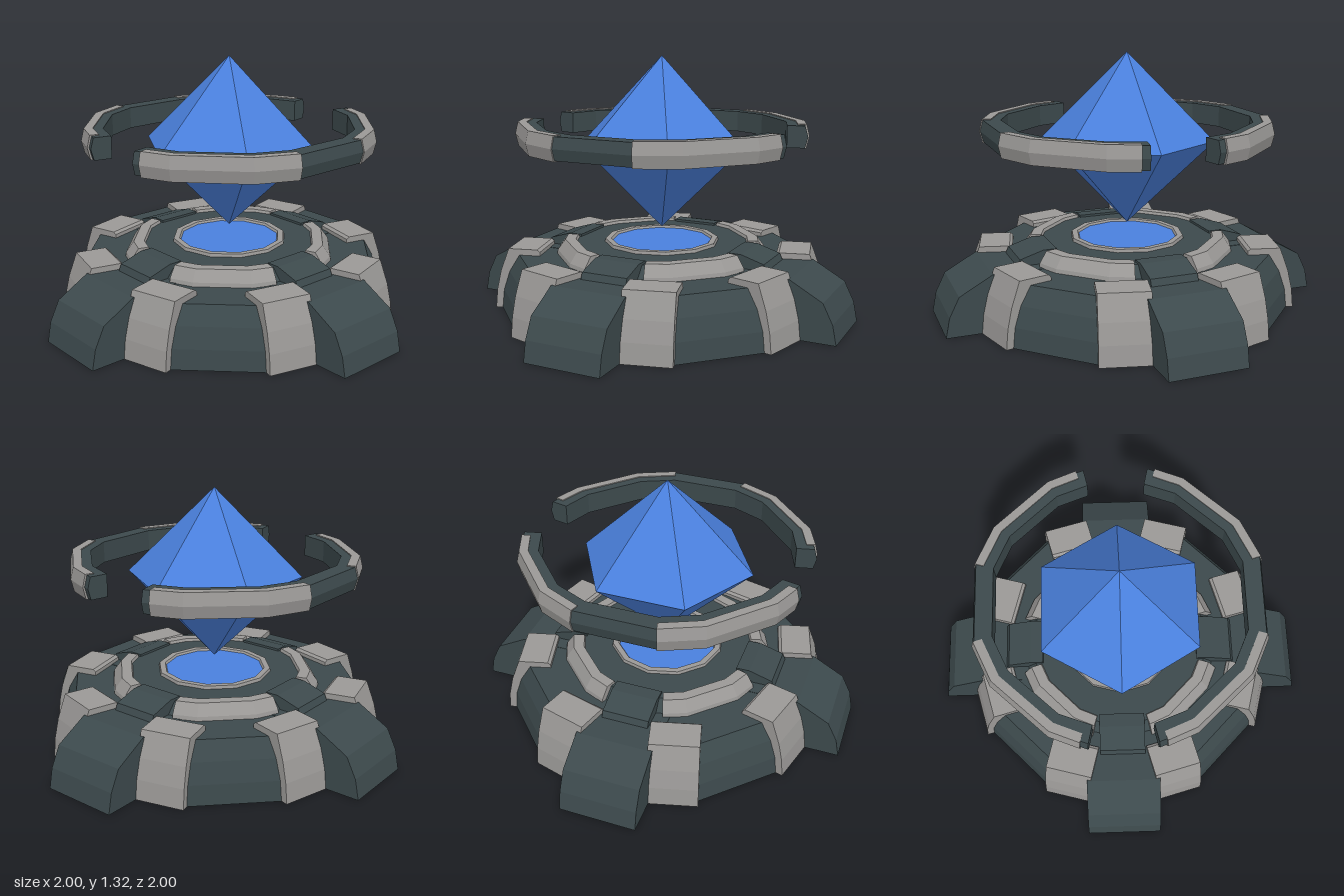
import * as THREE from 'three';

const mat = (name, color) => {
  const m = new THREE.MeshStandardMaterial({ color });
  m.name = name;
  return m;
};
const rad = THREE.MathUtils.degToRad;

// Flat facets: every triangle gets its own normal
function faceted(geo) {
  const g = geo.index ? geo.toNonIndexed() : geo;
  g.computeVertexNormals();
  return g;
}

const lathe = (profile, sides) =>
  faceted(new THREE.LatheGeometry(profile.map(p => new THREE.Vector2(...p)), sides));

// Extrude a (radius, height) profile sideways from t0 to t1
function slab(profile, t0, t1) {
  const shape = new THREE.Shape(profile.map(p => new THREE.Vector2(...p)));
  const g = new THREE.ExtrudeGeometry(shape, { depth: t1 - t0, bevelEnabled: false });
  return faceted(g.translate(0, 0, t0));
}

// Sweep a counter-clockwise (radius, height) section through a list of angles, with end caps
function arc(section, degrees) {
  const pos = [], idx = [], n = section.length;
  for (const d of degrees)
    for (const [r, y] of section) pos.push(r * Math.cos(rad(d)), y, r * Math.sin(rad(d)));
  for (let k = 0; k < degrees.length - 1; k++)
    for (let i = 0; i < n; i++) {
      const a = k * n + i, b = k * n + (i + 1) % n;
      idx.push(a, b, b + n, a, b + n, a + n);
    }
  const last = (degrees.length - 1) * n;
  for (let i = 1; i < n - 1; i++) {
    idx.push(0, i + 1, i);
    idx.push(last, last + i, last + i + 1);
  }
  const g = new THREE.BufferGeometry();
  g.setAttribute('position', new THREE.Float32BufferAttribute(pos, 3));
  g.setIndex(idx);
  return faceted(g);
}

export function createModel() {
  const model = new THREE.Group();
  model.name = 'crystalShrine';
  const dark = mat('darkSlate', 0x3c494c);
  const grey = mat('paleStone', 0x9a9896);
  const blue = mat('blueCrystal', 0x4a80dd);

  const add = (name, geo, material, deg = 0) => {
    const m = new THREE.Mesh(geo, material);
    m.name = name;
    m.rotation.y = rad(deg);
    model.add(m);
    return m;
  };

  // Twelve-sided base with a raised inner drum
  add('base', lathe([[0, 0], [0.84, 0], [0.83, 0.1], [0.8, 0.2], [0.75, 0.29],
    [0.54, 0.29], [0.49, 0.35], [0, 0.35]], 12), dark);

  // Glowing pool and its rim
  add('poolRim', lathe([[0.3, 0.345], [0.295, 0.366], [0.265, 0.366], [0.255, 0.35]], 12), grey);
  add('pool', faceted(new THREE.CircleGeometry(0.26, 12).rotateX(-Math.PI / 2).translate(0, 0.355, 0)), blue);

  const arm = slab([[0.5, 0], [1, 0], [0.98, 0.1], [0.93, 0.2], [0.765, 0.292], [0.5, 0.292]], -0.195, 0.195);
  const block = slab([[0.42, 0.28], [0.63, 0.28], [0.61, 0.325], [0.49, 0.362], [0.42, 0.362]], -0.12, 0.12);
  const clampProfile = [[0.6, 0.27], [0.6, 0.31], [0.615, 0.322], [0.77, 0.322],
    [0.815, 0.2], [0.838, 0.1], [0.848, 0], [0.7, 0]];
  const clampA = slab(clampProfile, -0.217, 0.03);
  const clampB = slab(clampProfile, -0.03, 0.217);
  const drumTrim = arc([[0.44, 0.34], [0.5, 0.28], [0.55, 0.285], [0.545, 0.31], [0.505, 0.365], [0.45, 0.365]],
    [17, 30, 60, 73]);

  // Four-fold repeats around the base
  for (let q = 0; q < 360; q += 90) {
    add('arm', arm, dark, q);
    add('innerBlock', block, dark, q);
    add('clamp', clampA, grey, q + 15);
    add('clamp', clampB, grey, q + 75);
    add('drumTrim', drumTrim, grey, q);
  }

  // Floating split ring: two dark halves with pale outer panels
  const core = arc([[0.64, 0.864], [0.73, 0.864], [0.745, 0.92], [0.73, 0.976], [0.64, 0.976]],
    [-77, -62, -33, -16, 16, 33, 62, 77]);
  const panelSection = [[0.69, 0.859], [0.735, 0.859], [0.75, 0.92], [0.735, 0.981], [0.69, 0.981]];
  const panelFront = arc(panelSection, [16, 33, 62, 74]);
  const panelBack = arc(panelSection, [-74, -62, -33, -16]);
  for (const q of [0, 180]) {
    add('ringHalf', core, dark, q);
    add('ringPanel', panelFront, grey, q);
    add('ringPanel', panelBack, grey, q);
  }

  // Floating six-sided crystal
  add('crystal', lathe([[0, 0.425], [0.45, 0.868], [0, 1.315]], 6), blue);

  return model;
}
